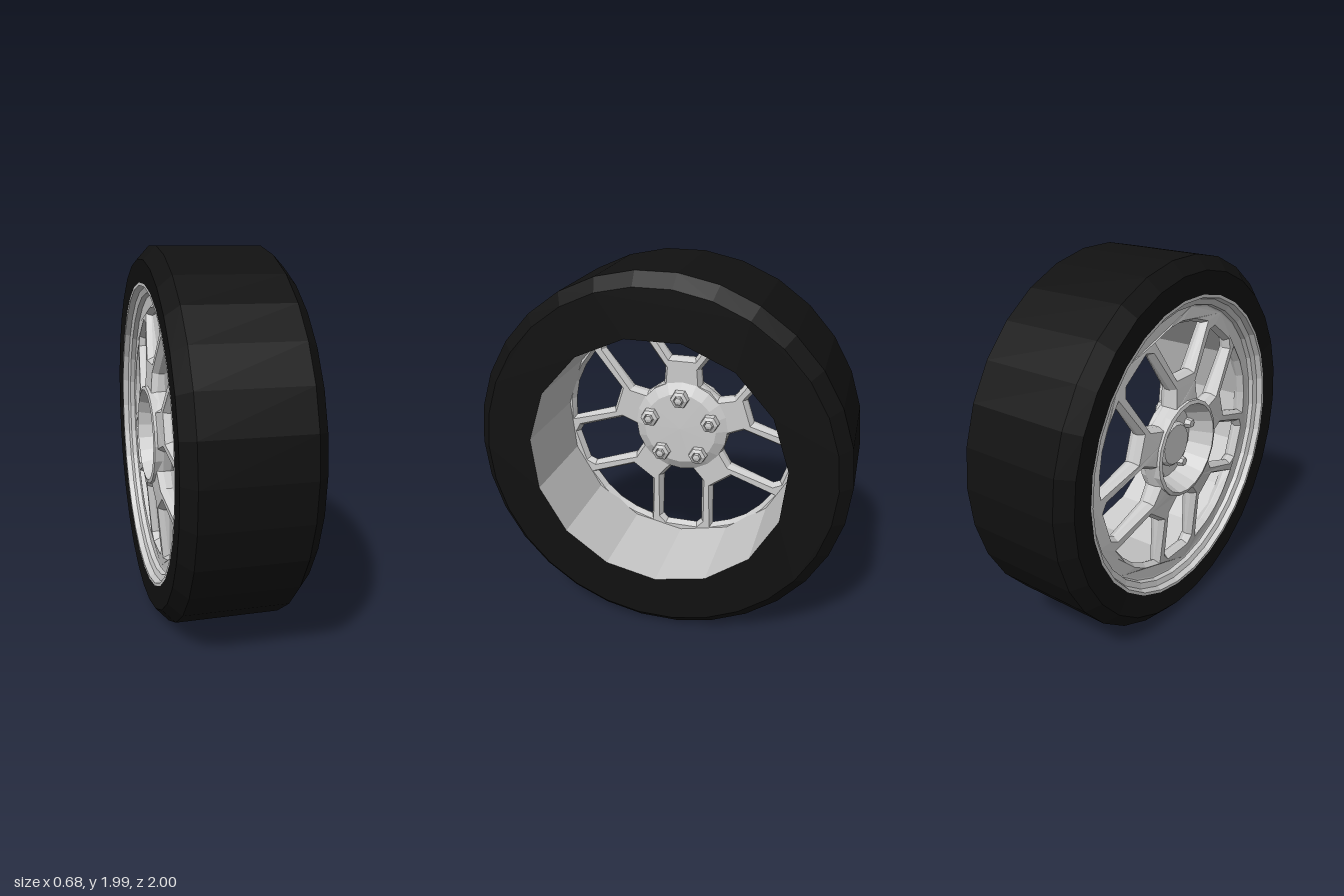
import * as THREE from 'three';

const metal = new THREE.MeshStandardMaterial({ color: 0xcccccc, flatShading: true, side: THREE.DoubleSide });
const rubber = new THREE.MeshStandardMaterial({ color: 0x111111, flatShading: true, side: THREE.DoubleSide });

// Profile of [radius, x] pairs turned about the x axis
function turned(name, profile, sides, material, start = 0) {
  const pts = profile.map(([r, x]) => new THREE.Vector2(r, x));
  const geo = new THREE.LatheGeometry(pts, sides, start).rotateZ(-Math.PI / 2);
  const mesh = new THREE.Mesh(geo, material);
  mesh.name = name;
  return mesh;
}

// Regular polygon as points; the first corner sits at angle start
function polygon(radius, sides, start) {
  return Array.from({ length: sides }, (_, i) => {
    const a = start + (i / sides) * Math.PI * 2;
    return new THREE.Vector2(Math.cos(a) * radius, Math.sin(a) * radius);
  });
}

// Window from half an outline of [radial, tangential] points, mirrored and turned to an angle
function windowHole(half, angle) {
  const mirrored = half.filter(([, t]) => t > 0).reverse().map(([r, t]) => [r, -t]);
  const pts = [...half, ...mirrored].map(([r, t]) =>
    new THREE.Vector2(r, t).rotateAround(new THREE.Vector2(), angle));
  return new THREE.Path(pts);
}

function makeTyre() {
  const tyre = new THREE.Group();
  tyre.name = 'tyre';
  tyre.add(turned('tread', [[0.81, -0.335], [0.93, -0.34], [1, -0.275], [1, 0.27], [0.935, 0.335]], 30, rubber));
  // Flat inner sidewall with a 15-sided opening
  const wall = new THREE.Shape(polygon(0.935, 30, 0));
  wall.holes.push(new THREE.Path(polygon(0.69, 15, -Math.PI / 2)));
  const side = new THREE.Mesh(
    new THREE.ShapeGeometry(wall).rotateY(Math.PI / 2).translate(0.335, 0, 0), rubber);
  side.name = 'innerSidewall';
  tyre.add(side);
  return tyre;
}

function makeSpokes() {
  const forkWindow = [[0.41, 0.07], [0.62, 0.215], [0.652, 0.11], [0.665, 0]];
  const wideWindow = [[0.27, 0.06], [0.34, 0.12], [0.61, 0.12], [0.642, 0.09]];
  const shape = new THREE.Shape(polygon(0.76, 30, 0));
  for (let i = 0; i < 5; i++) {
    const a = Math.PI / 2 + (i * Math.PI * 2) / 5;
    shape.holes.push(windowHole(forkWindow, a), windowHole(wideWindow, a + Math.PI / 5));
  }
  // Hollow for the hub cup
  shape.holes.push(new THREE.Path(polygon(0.235, 30, 0)));
  const geo = new THREE.ExtrudeGeometry(shape, {
    depth: 0.04, bevelThickness: 0.03, bevelSize: 0.018, bevelOffset: -0.018, bevelSegments: 1,
  }).rotateY(-Math.PI / 2).translate(-0.24, 0, 0);
  // Outer face falls back slightly from hub to rim
  const p = geo.attributes.position;
  for (let i = 0; i < p.count; i++) {
    const r = Math.hypot(p.getY(i), p.getZ(i));
    if (p.getX(i) < -0.25) p.setX(i, p.getX(i) + 0.035 * (r - 0.27) / 0.4);
  }
  geo.computeVertexNormals();
  const mesh = new THREE.Mesh(geo, metal);
  mesh.name = 'forkedSpokes';
  return mesh;
}

function makeHub() {
  const hub = new THREE.Group();
  hub.name = 'hub';
  hub.add(turned('hubCup', [
    [0, -0.2], [0.2, -0.2], [0.245, -0.33], [0.265, -0.325], [0.27, -0.21], [0.21, -0.175], [0, -0.17],
  ], 20, metal));
  hub.add(turned('centreCap', [[0, -0.25], [0.11, -0.25], [0.125, -0.235], [0.125, -0.19]], 20, metal));
  // Five lug bolts passing through the hub floor
  for (let i = 0; i < 5; i++) {
    const a = (i * Math.PI * 2) / 5;
    const bolt = new THREE.Group();
    bolt.name = 'lugBolt';
    bolt.add(turned('nut', [
      [0, -0.235], [0.022, -0.235], [0.03, -0.2], [0.055, -0.18], [0.05, -0.145], [0.03, -0.135], [0.026, -0.15],
    ], 6, metal));
    bolt.add(turned('stud', [[0.026, -0.15], [0.022, -0.125], [0, -0.12]], 6, metal));
    bolt.position.set(0, Math.cos(a) * 0.185, Math.sin(a) * 0.185);
    hub.add(bolt);
  }
  return hub;
}

export function createModel() {
  const model = new THREE.Group();
  model.name = 'wheel';
  const wheel = new THREE.Group();
  wheel.name = 'wheelAssembly';
  wheel.position.y = 1;
  wheel.add(makeTyre(), makeSpokes(), makeHub());
  // Stepped outer lip and the plain 15-sided barrel behind it
  wheel.add(turned('rimLip', [
    [0.72, -0.265], [0.75, -0.27], [0.755, -0.295], [0.785, -0.305], [0.795, -0.335], [0.815, -0.335],
  ], 30, metal));
  wheel.add(turned('rimBarrel', [[0.69, 0.335], [0.69, -0.25]], 15, metal, Math.PI / 2));
  model.add(wheel);
  return model;
}
